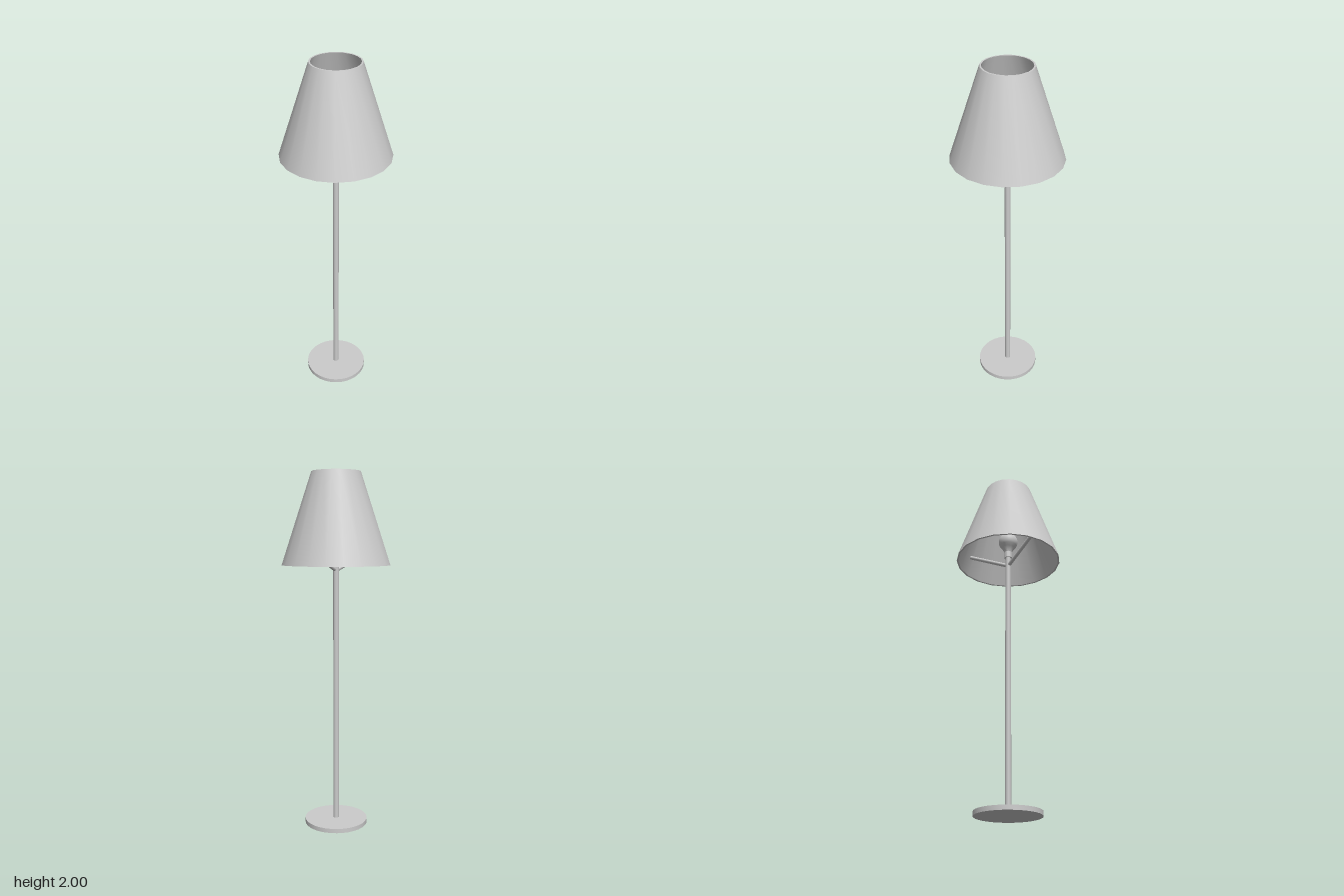
import * as THREE from 'three';
import { toCreasedNormals } from 'three/addons/utils/BufferGeometryUtils.js';

const material = new THREE.MeshStandardMaterial({ color: 0xcccccc });

// Turn a profile of [radius, height] pairs, keeping its corners sharp
function turned(name, profile, sides) {
  const points = profile.map(([r, y]) => new THREE.Vector2(r, y));
  const geometry = toCreasedNormals(new THREE.LatheGeometry(points, sides), 0.6);
  const mesh = new THREE.Mesh(geometry, material);
  mesh.name = name;
  return mesh;
}

// Round rod between two points
function rod(name, from, to, radius) {
  const span = to.clone().sub(from);
  const mesh = new THREE.Mesh(new THREE.CylinderGeometry(radius, radius, span.length(), 12), material);
  mesh.name = name;
  mesh.position.copy(from).addScaledVector(span, 0.5);
  mesh.quaternion.setFromUnitVectors(new THREE.Vector3(0, 1, 0), span.normalize());
  return mesh;
}

export function createModel() {
  const lamp = new THREE.Group();
  lamp.name = 'floorLamp';

  // Flat round foot and slim pole
  lamp.add(turned('base', [[0, 0], [0.18, 0], [0.18, 0.025], [0, 0.025]], 32));
  lamp.add(rod('pole', new THREE.Vector3(0, 0.02, 0), new THREE.Vector3(0, 1.54, 0), 0.0165));

  // Tapered shade, a thin shell open at both ends
  const shade = turned('shade', [
    [0.307, 1.495], [0.138, 2], [0.129, 2], [0.297, 1.495], [0.307, 1.495],
  ], 20);
  shade.scale.x = 0.985;
  lamp.add(shade);

  // Two arms rising from the pole to the inside of the shade
  for (const degrees of [-60, 143]) {
    const a = THREE.MathUtils.degToRad(degrees);
    const reach = 0.264;
    const end = new THREE.Vector3(Math.cos(a) * reach, 1.6, Math.sin(a) * reach);
    lamp.add(rod('shadeArm', new THREE.Vector3(0, 1.467, 0), end, 0.011));
  }

  // Socket and pear-shaped bulb
  lamp.add(turned('socket', [[0, 1.52], [0.023, 1.52], [0.023, 1.56], [0, 1.56]], 20));
  const bulbProfile = [[0.022, 1.555], [0.026, 1.57], [0.038, 1.59]];
  for (let i = 0; i <= 10; i++) {
    const t = -0.5 + (i / 10) * (Math.PI / 2 + 0.5);
    bulbProfile.push([Math.max(0, 0.057 * Math.cos(t)), 1.632 + 0.057 * Math.sin(t)]);
  }
  lamp.add(turned('bulb', bulbProfile, 24));

  return lamp;
}
